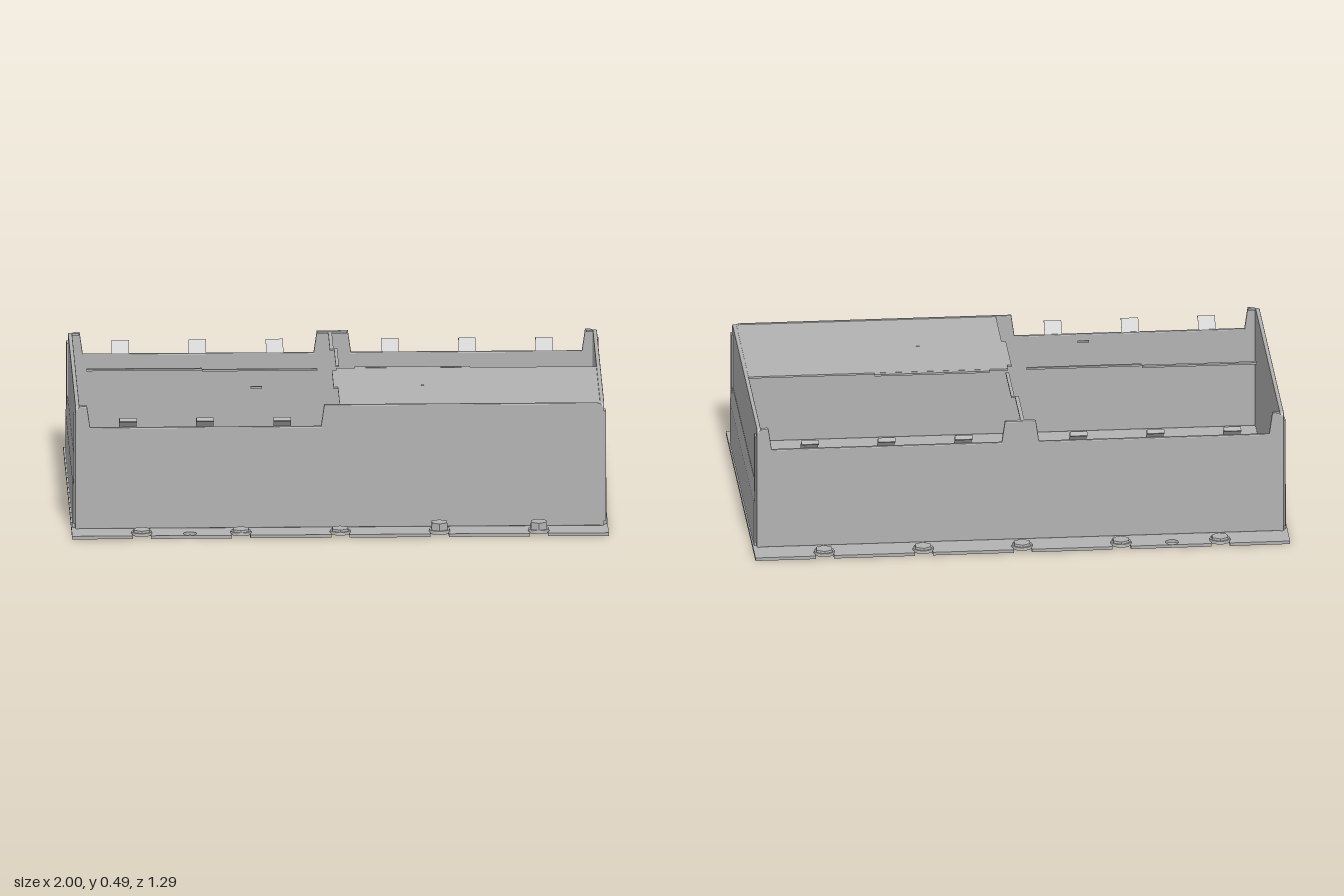
import * as THREE from 'three';

const steel = new THREE.MeshStandardMaterial({ color: 0xb2b2b2, side: THREE.DoubleSide, flatShading: true });
steel.name = 'sheet steel';

const shapeOf = (pts) => new THREE.Shape(pts.map(([x, y]) => new THREE.Vector2(x, y)));
const mesh = (name, geometry) => {
  const m = new THREE.Mesh(geometry, steel);
  m.name = name;
  return m;
};
// Box given by its lower and upper limits
function slab(name, [x0, x1], [y0, y1], [z0, z1]) {
  const m = mesh(name, new THREE.BoxGeometry(x1 - x0, y1 - y0, z1 - z0));
  m.position.set((x0 + x1) / 2, (y0 + y1) / 2, (z0 + z1) / 2);
  return m;
}
// Sheet with softly rounded edges, thickness t from z = 0
function sheet(shape, t, bevel = 0.004) {
  const g = new THREE.ExtrudeGeometry(shape, {
    depth: t - 2 * bevel, bevelEnabled: bevel > 0, bevelThickness: bevel,
    bevelSize: bevel, bevelOffset: -bevel, bevelSegments: 2, curveSegments: 6,
  });
  return g.translate(0, 0, bevel);
}

const BOLTS = [-0.74, -0.37, 0, 0.37, 0.74];
const H = 0.485, BASE = 0.012, WX = 0.982, WZ = 0.54, T = 0.012;

// Base plate with open bolt slots along both long edges and two round holes
function basePlate() {
  const edge = 0.645, w = 0.034, s = new THREE.Shape();
  s.moveTo(-1, -edge);
  for (const x of BOLTS) {
    s.lineTo(x - w, -edge);
    s.lineTo(x - w, -0.608);
    s.absarc(x, -0.608, w, Math.PI, 0, true);
    s.lineTo(x + w, -edge);
  }
  s.lineTo(1, -edge);
  s.lineTo(1, edge);
  for (const x of [...BOLTS].reverse()) {
    s.lineTo(x + w, edge);
    s.lineTo(x + w, 0.608);
    s.absarc(x, 0.608, w, 0, Math.PI, true);
    s.lineTo(x - w, edge);
  }
  s.lineTo(-1, edge);
  s.closePath();
  for (const z of [-0.617, 0.617]) {
    s.holes.push(new THREE.Path().absarc(-0.56, z, 0.025, 0, Math.PI * 2, true));
  }
  const m = mesh('basePlate', sheet(s, BASE, 0));
  m.rotation.x = -Math.PI / 2;
  return m;
}

// Long wall; each notch [from, to] lowers its top edge
function longWall(name, notches) {
  const s = new THREE.Shape(), r = 0.028, low = 0.402;
  s.moveTo(-WX, BASE);
  s.lineTo(-WX, H - r);
  s.quadraticCurveTo(-WX, H, -WX + r, H);
  for (const [a, b] of notches) {
    s.lineTo(a - 0.012, H);
    s.lineTo(a, low);
    s.lineTo(b - 0.012, low);
    s.lineTo(b, H);
  }
  s.lineTo(WX - r, H);
  s.quadraticCurveTo(WX, H, WX, H - r);
  s.lineTo(WX, BASE);
  s.closePath();
  return mesh(name, sheet(s, T));
}

// End wall with a stepped lower panel and proud corner strips, built for +x
function endWall() {
  const g = new THREE.Group(), r = 0.02, s = new THREE.Shape();
  s.moveTo(-WZ, BASE);
  s.lineTo(-WZ, H - r);
  s.quadraticCurveTo(-WZ, H, -WZ + r, H);
  s.lineTo(WZ - r, H);
  s.quadraticCurveTo(WZ, H, WZ, H - r);
  s.lineTo(WZ, BASE);
  s.closePath();
  const plate = mesh('endPlate', sheet(s, T + 0.004));
  plate.rotation.y = Math.PI / 2;
  plate.position.x = WX - T;
  g.add(plate);
  const step = shapeOf([[0.98, 0.014], [0.995, 0.014], [0.995, 0.18], [0.987, 0.248], [0.98, 0.248]]);
  const panel = mesh('steppedPanel', sheet(step, 1.05, 0));
  panel.position.z = -0.525;
  g.add(panel);
  for (const side of [-1, 1]) {
    const z = [0.497 * side, 0.535 * side].sort((a, b) => a - b);
    g.add(slab('cornerStrip', [0.98, 0.992], [0.03, 0.452], z));
  }
  return g;
}

// Bent spring clip leaning out of the +z wall
function clip(x) {
  const t = 0.004;
  const path = [[0.534, 0.402], [0.541, 0.412], [0.565, 0.446], [0.583, 0.436]];
  const inner = path.map(([z, y]) => [z - t * 0.4, y - t]).reverse();
  const geo = sheet(shapeOf([...path, ...inner]), 0.065, 0);
  const m = mesh('clip', geo);
  m.rotation.y = -Math.PI / 2;
  m.position.x = x + 0.0325;
  return m;
}

// Hexagonal bolt head on a round washer
function bolt(x, z, top) {
  const g = new THREE.Group();
  g.name = 'bolt';
  const flange = top > 0.03 ? 0.021 : 0.019;
  const washer = mesh('washer', new THREE.CylinderGeometry(0.038, 0.04, flange - 0.008, 20));
  washer.position.y = (flange + 0.008) / 2;
  const head = mesh('hexHead', new THREE.CylinderGeometry(0.033, 0.035, top - flange, 6));
  head.position.y = (top + flange) / 2;
  g.add(washer, head);
  g.position.set(x, 0, z);
  return g;
}

export function createModel() {
  const model = new THREE.Group();
  model.name = 'openSteelBox';
  model.add(basePlate());

  // Long walls
  const front = longWall('frontWall', [[-0.93, -0.058]]);
  front.position.z = WZ - T;
  const back = longWall('backWall', [[-0.93, -0.058], [0.07, 0.942]]);
  back.position.z = -WZ;
  model.add(front, back);

  // End walls, the second one turned round
  for (const [name, turn] of [['leftEndWall', 0], ['rightEndWall', Math.PI]]) {
    const end = endWall();
    end.name = name;
    end.rotation.y = turn;
    model.add(end);
  }

  // Inward lips on the standing tabs
  for (const [x0, x1, s] of [[-0.97, -0.945, 1], [-0.97, -0.945, -1], [-0.055, 0.055, -1], [0.945, 0.97, -1]]) {
    const z = [s * 0.52, s * 0.532].sort((a, b) => a - b);
    model.add(slab('tabLip', [x0, x1], [H - 0.009, H - 0.002], z));
  }

  // Spring clips
  const frontClips = new THREE.Group(), backClips = new THREE.Group();
  frontClips.name = 'frontClips';
  backClips.name = 'backClips';
  for (const x of [-0.79, -0.503, -0.215]) {
    frontClips.add(clip(x));
    backClips.add(clip(x), clip(-x));
  }
  for (const c of frontClips.children) if (c.position.x > 0.1) frontClips.remove(c);
  backClips.rotation.y = Math.PI;
  model.add(frontClips, backClips);

  // Bolts: two tall ones at the front
  for (const x of BOLTS) {
    model.add(bolt(x, 0.605, x > 0.1 ? 0.048 : 0.027), bolt(x, -0.608, 0.027));
  }

  // Single lid over one quarter
  const ly = [0.475, 0.482];
  model.add(slab('lid', [0, 0.972], ly, [0, 0.53]));

  // Thin strips between the open quarters
  const strips = [
    [[-0.93, -0.5], [-0.018, -0.004]], [[-0.5, -0.07], [0, 0.01]], [[0.07, 0.5], [-0.018, -0.002]],
    [[-0.016, -0.002], [-0.525, -0.28]], [[0, 0.012], [-0.28, -0.04]], [[-0.016, 0], [0.035, 0.275]],
  ];
  for (const [x, z] of strips) model.add(slab('dividerStrip', x, ly, z));

  // Small finger slots
  model.add(slab('fingerSlot', [-0.325, -0.282], ly, [0.254, 0.262]));
  model.add(slab('fingerSlot', [0.31, 0.322], [0.48, 0.484], [0.254, 0.262]));
  return model;
}
